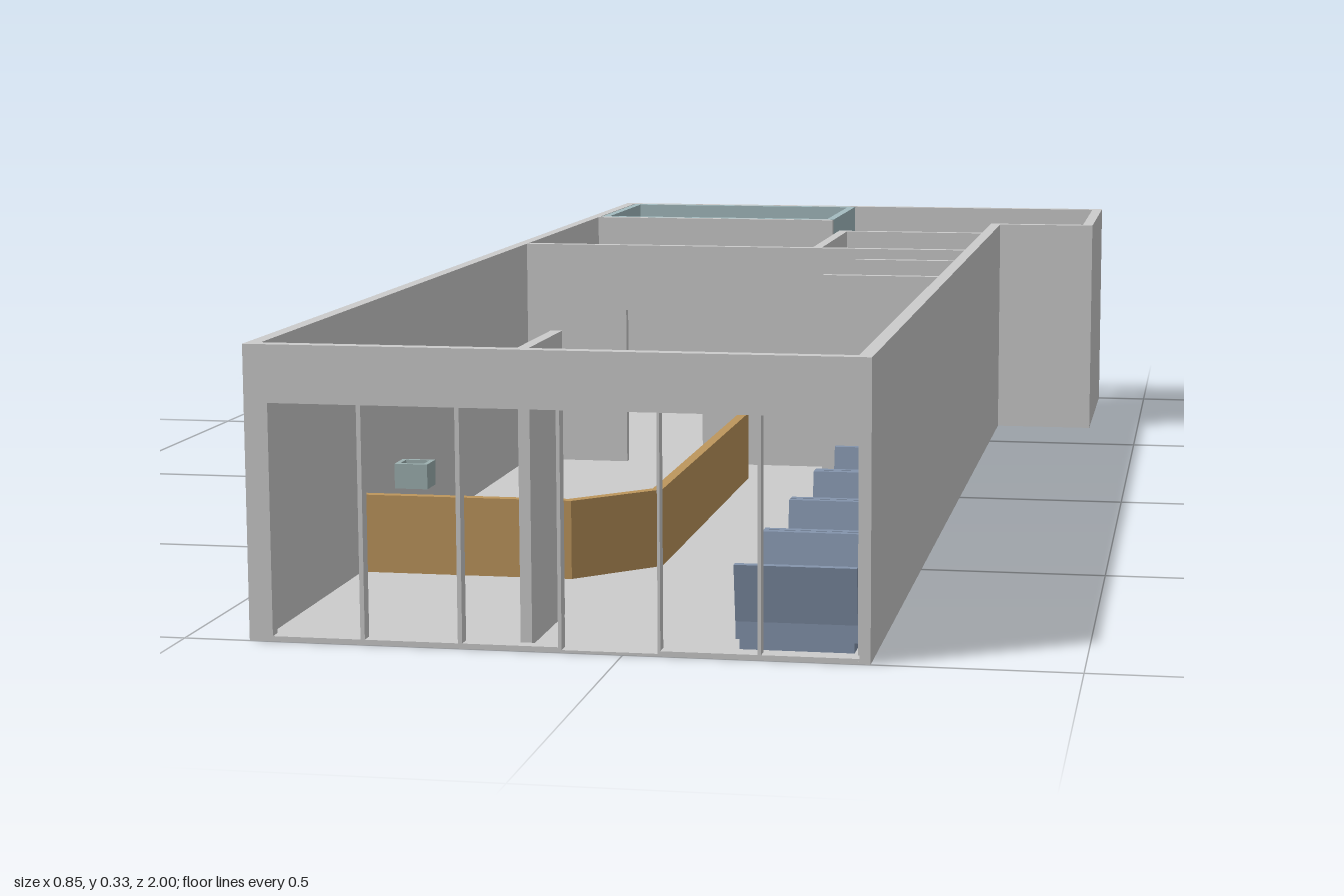
import * as THREE from 'three';

const H = 0.333, T = 0.016, FLOOR = 0.003, DOOR = 0.235;
const mat = (color) => new THREE.MeshStandardMaterial({ color });
const grey = mat(0xcccccc), blue = mat(0x8494ac), wood = mat(0xbd965c);
const steel = mat(0x9db0b0), dark = mat(0x4c5858), cool = mat(0xa4bcc0), cream = mat(0xe4dccb);

const points = (list) => list.map(([x, y]) => new THREE.Vector2(x, y));
const rect = (x0, x1, y0, y1) => points([[x0, y0], [x1, y0], [x1, y1], [x0, y1]]);

export function createModel() {
  const model = new THREE.Group();

  function add(name, geometry, material, parent = model) {
    const mesh = new THREE.Mesh(geometry, material);
    mesh.name = name;
    parent.add(mesh);
    return mesh;
  }
  function box(name, x0, x1, y0, y1, z0, z1, material = grey, parent = model) {
    const g = new THREE.BoxGeometry(x1 - x0, y1 - y0, z1 - z0);
    return add(name, g.translate((x0 + x1) / 2, (y0 + y1) / 2, (z0 + z1) / 2), material, parent);
  }
  function group(name) {
    const g = new THREE.Group();
    g.name = name;
    model.add(g);
    return g;
  }
  const extrude = (outline, depth, holes = []) => {
    const shape = new THREE.Shape(outline);
    shape.holes = holes.map((h) => new THREE.Path(h));
    return new THREE.ExtrudeGeometry(shape, { depth, bevelEnabled: false });
  };
  // Upright walls; each opening is [start, end, bottom, top]
  function wallX(name, x0, x1, z0, z1, openings = [], material = grey) {
    const g = extrude(rect(x0, x1, 0, H), z1 - z0, openings.map((o) => rect(...o)));
    add(name, g.translate(0, 0, z0), material);
  }
  function wallZ(name, x0, x1, z0, z1, openings = [], material = grey) {
    const g = extrude(rect(z0, z1, 0, H), x1 - x0, openings.map((o) => rect(...o)));
    add(name, g.rotateY(-Math.PI / 2).translate(x1, 0, 0), material);
  }
  // Flat plan outline [x, z] raised from y0 to y1
  function slab(name, plan, y0, y1, material) {
    const g = extrude(points(plan.map(([x, z]) => [x, -z])), y1 - y0);
    add(name, g.rotateX(-Math.PI / 2).translate(0, y0, 0), material);
  }

  // L-shaped floor
  slab('floor', [[-0.423, 1], [0.271, 1], [0.271, -0.661], [0.421, -0.661], [0.421, -1], [-0.423, -1]], 0, FLOOR, grey);

  // Outer walls, with glazed front openings around an open doorway
  wallX('frontWall', -0.424, 0.272, 1 - T, 1, [
    [-0.397, -0.296, 0.006, 0.268], [-0.291, -0.185, 0.006, 0.268], [-0.18, -0.072, 0.006, 0.268],
    [-0.068, 0.039, FLOOR, 0.268],
    [0.042, 0.149, 0.006, 0.268], [0.153, 0.26, 0.006, 0.268],
  ]);
  wallX('backWall', -0.424, 0.422, -1, -1 + T, [[0.27, 0.38, FLOOR, DOOR]]);
  wallZ('rightWall', -0.424, -0.424 + T, -1 + T, 1 - T);
  wallZ('leftWall', 0.272 - T, 0.272, -0.66, 1 - T);
  wallZ('annexSideWall', 0.422 - T, 0.422, -1 + T, -0.66);
  wallX('annexFrontWall', 0.272 - T, 0.422 - T, -0.66 - T, -0.66);

  // Inner partitions
  wallX('kitchenWall', -0.408, 0.256, -0.218, -0.204, [
    [-0.255, -0.138, FLOOR, DOOR], [0.14, 0.245, FLOOR, DOOR],
  ]);
  wallZ('restroomSideWall', 0.028, 0.042, -0.505, -0.218);
  wallX('restroomBackWall', 0.042, 0.256, -0.505, -0.491);
  wallX('corridorStub', 0.115, 0.256, -0.053, -0.041);
  wallX('boothStub', 0.1, 0.256, 0.165, 0.177);
  wallZ('entranceScreen', -0.118, -0.105, 0.83, 1 - T);
  wallX('storeWall', -0.408, -0.01, -0.706, -0.694);

  // Cold room lining
  wallX('coldRoomBack', -0.406, -0.01, -0.982, -0.968, [], cool);
  wallX('coldRoomFront', -0.406, -0.01, -0.72, -0.708, [], cool);
  wallZ('coldRoomSide', -0.406, -0.394, -0.968, -0.72, [], cool);
  wallZ('coldRoomDoorSide', -0.022, -0.01, -0.968, -0.72, [[-0.9, -0.79, FLOOR, DOOR]], cool);

  // Service counter with a chamfered corner
  slab('counter', [
    [-0.408, 0.639], [-0.142, 0.639], [-0.048, 0.545], [-0.048, 0.087 - 0.177],
    [-0.061, -0.09], [-0.061, 0.539], [-0.148, 0.626], [-0.408, 0.626],
  ], FLOOR, 0.1, wood);

  // Booth benches: plinth, seat and leaning back in one side profile
  function bench(z, dir) {
    const g = group('boothBench');
    const prism = (name, profile, x0, x1) => {
      const geo = extrude(points(profile.map(([d, y]) => [z + dir * d, y])), x1 - x0);
      add(name, geo.rotateY(-Math.PI / 2).translate(x1, 0, 0), blue, g);
    };
    prism('benchPlinth', [[0.016, FLOOR], [0.058, FLOOR], [0.058, 0.015], [0.016, 0.015]], 0.123, 0.25);
    prism('benchSeat', [[0.012, 0.015], [0.064, 0.015], [0.066, 0.035], [0.066, 0.05],
      [0.022, 0.046], [0.011, 0.1], [0.001, 0.1], [0.012, 0.035]], 0.119, 0.254);
  }
  bench(0.178, 1);
  for (const z of [0.374, 0.578, 0.778]) {
    bench(z, 1);
    bench(z, -1);
  }
  bench(0.98, -1);

  // Open basin: four rim strips, a dark floor and a solid body below
  function basin(g, x0, x1, z0, z1, y0, top, rim = 0.006) {
    const low = top - 0.02;
    box('basinBody', x0, x1, y0, low, z0, z1, steel, g);
    box('basinBottom', x0 + rim, x1 - rim, low, low + 0.002, z0 + rim, z1 - rim, dark, g);
    box('basinRim', x0, x0 + rim, low, top, z0, z1, steel, g);
    box('basinRim', x1 - rim, x1, low, top, z0, z1, steel, g);
    box('basinRim', x0 + rim, x1 - rim, low, top, z0, z0 + rim, steel, g);
    box('basinRim', x0 + rim, x1 - rim, low, top, z1 - rim, z1, steel, g);
  }
  basin(group('counterHandSink'), -0.403, -0.36, 0.474, 0.512, 0.085, 0.117);
  basin(group('kitchenHandSink'), -0.072, -0.03, -0.692, -0.65, 0.085, 0.117);

  // Three-bowl sink with drainboards and legs
  const sink = group('tripleSink');
  for (let i = 0; i < 3; i++) {
    const z = -0.425 + i * 0.047;
    basin(sink, -0.048, 0.014, z, z + 0.047, 0.07, 0.117);
  }
  box('drainboard', -0.048, 0.014, 0.111, 0.117, -0.47, -0.425, steel, sink);
  box('drainboard', -0.048, 0.014, 0.111, 0.117, -0.284, -0.238, steel, sink);
  box('splashback', 0.014, 0.027, 0.105, 0.125, -0.47, -0.238, steel, sink);
  for (const x of [-0.042, 0.008])
    for (const z of [-0.42, -0.29])
      add('sinkLeg', new THREE.CylinderGeometry(0.003, 0.003, 0.068, 8).translate(x, 0.037, z), steel, sink);

  // Toilet
  const toilet = group('toilet');
  box('tank', 0.044, 0.06, 0.04, 0.085, -0.465, -0.415, cream, toilet);
  const bowl = points([[0, FLOOR], [0.014, FLOOR], [0.013, 0.02], [0.025, 0.045], [0.025, 0.048], [0.015, 0.048], [0.01, 0.034], [0, 0.03]]);
  add('bowl', new THREE.LatheGeometry(bowl, 24).scale(1.15, 1, 1).translate(0.088, 0, -0.44), cream, toilet);
  box('bowlNeck', 0.056, 0.072, 0.02, 0.044, -0.452, -0.428, cream, toilet);

  // Restroom washbasin
  const wash = group('washbasin');
  box('washbasinBody', 0.044, 0.09, 0.075, 0.097, -0.297, -0.24, cream, wash);
  const ring = new THREE.TorusGeometry(0.016, 0.003, 8, 24).rotateX(Math.PI / 2);
  add('washbasinRim', ring.translate(0.069, 0.097, -0.268), cream, wash);
  box('washbasinPedestal', 0.052, 0.07, FLOOR, 0.075, -0.277, -0.259, cream, wash);

  return model;
}
